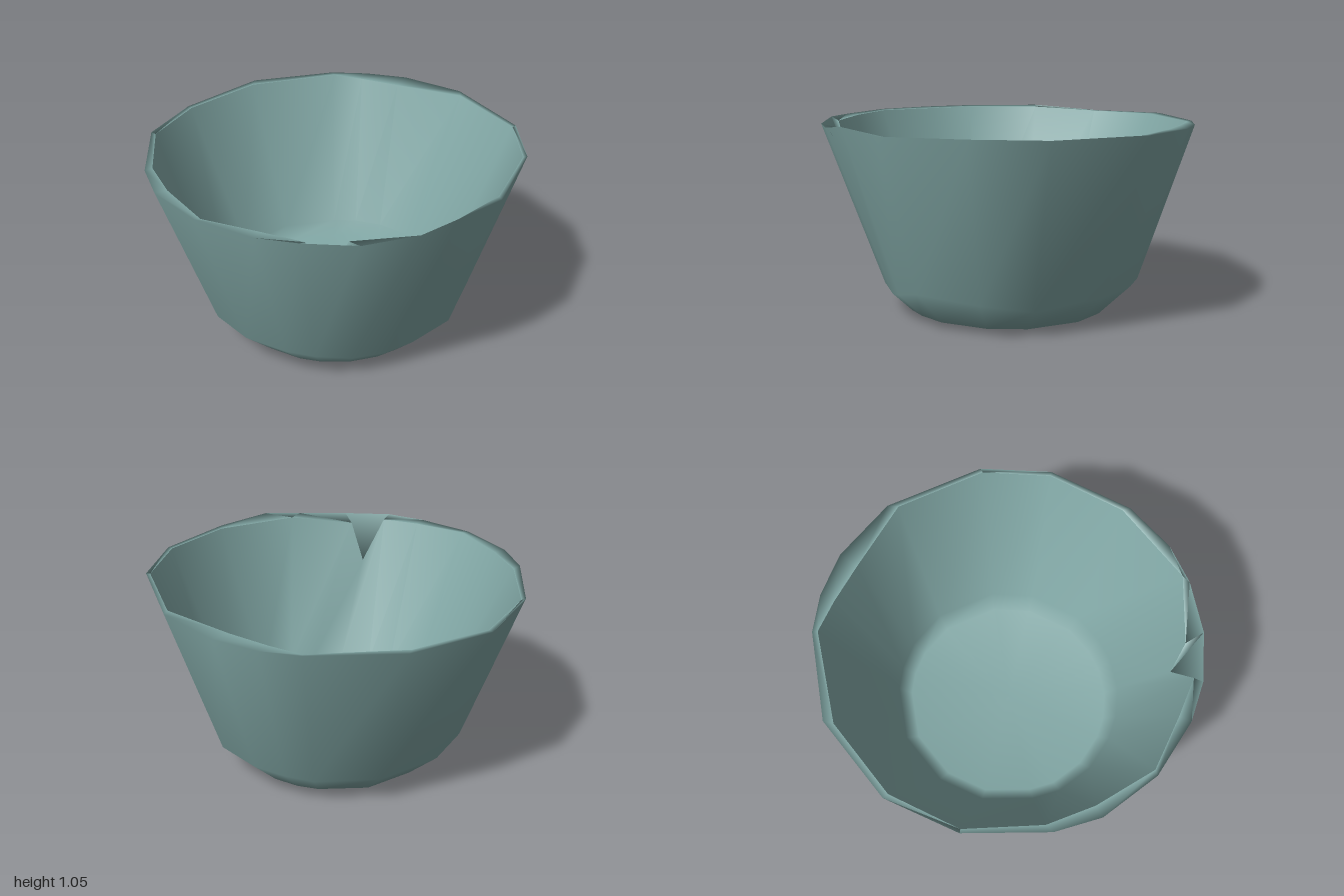
import * as THREE from 'three';

// Rim corners [x, y, z], running clockwise seen from above
const outerRim = [
  [-0.07, 1.03, -1], [0.3, 1.035, -0.96], [0.76, 1.04, -0.67], [0.95, 1.045, -0.34],
  [1, 1.035, 0.13], [0.91, 1.055, 0.42], [0.8, 1.03, 0.61], [0.6, 1.02, 0.81],
  [0.36, 1.03, 0.94], [0.15, 1.025, 0.995], [-0.18, 1.025, 0.995], [-0.5, 1.02, 0.88],
  [-0.69, 1.02, 0.72], [-0.94, 1.02, 0.35], [-1, 1.0, -0.06], [-0.85, 1.02, -0.53],
  [-0.5, 1.025, -0.86], [-0.31, 1.025, -0.95],
];
// The inner edge drops into a notch near the front left
const innerRim = [
  [-0.07, 1.02, -0.89], [0.33, 1.03, -0.91], [0.75, 1.035, -0.65], [0.93, 1.04, -0.33],
  [0.97, 1.03, 0.1], [0.82, 1.01, 0.56], [0.51, 0.99, 0.76], [0.42, 0.77, 0.76],
  [0.36, 1.01, 0.89], [0.14, 1.02, 0.93], [-0.16, 1.02, 0.97], [-0.47, 1.015, 0.82],
  [-0.68, 1.015, 0.67], [-0.92, 1.01, 0.34], [-0.97, 1.0, -0.05], [-0.83, 1.015, -0.48],
  [-0.48, 1.02, -0.84], [-0.3, 1.02, -0.87],
];

// Uneven radius of the shoulder, one factor per corner
const wobble = [1, 0.99, 0.94, 0.99, 1.02, 0.95, 0.91, 0.93, 0.98, 1, 1, 1.01, 0.95, 0.99, 1, 0.98, 0.97, 1];
const even = wobble.map(() => 1);

// Ring made by shrinking the outer rim; corners that sit further in also sit lower
const shrink = (scale, y, slope, dx, factors) => outerRim.map(([x, , z], i) => [
  x * scale * factors[i] + dx, y + slope * x + 0.8 * (factors[i] - 1), z * scale * factors[i],
]);
const centre = (y) => outerRim.map(() => [0.02, y, 0]);

// Smooth skin through a list of rings
function loft(name, rings, material) {
  const n = outerRim.length, index = [];
  for (let r = 0; r < rings.length - 1; r++) {
    for (let i = 0; i < n; i++) {
      const a = r * n + i, b = r * n + (i + 1) % n;
      index.push(a, a + n, b, b, a + n, b + n);
    }
  }
  const geometry = new THREE.BufferGeometry();
  geometry.setAttribute('position', new THREE.Float32BufferAttribute(rings.flat(2), 3));
  geometry.setIndex(index);
  geometry.computeVertexNormals();
  const mesh = new THREE.Mesh(geometry, material);
  mesh.name = name;
  return mesh;
}

export function createModel() {
  const glaze = new THREE.MeshStandardMaterial({ name: 'grey green glaze', color: 0x82a8a6 });
  const bowl = new THREE.Group();
  bowl.name = 'bowl';

  const foot = shrink(0.55, 0.012, 0.01, 0.02, even);
  const shoulder = shrink(0.725, 0.185, 0.012, 0.015, wobble);
  const floorEdge = shrink(0.64, 0.19, 0, 0.01, even);
  const floorMiddle = shrink(0.57, 0.12, 0, 0.01, even);

  bowl.add(
    loft('outerWall', [centre(0.015), foot, shoulder, outerRim, innerRim], glaze),
    loft('innerWallAndFloor', [innerRim, floorEdge, floorMiddle, centre(0.115)], glaze),
  );
  return bowl;
}
